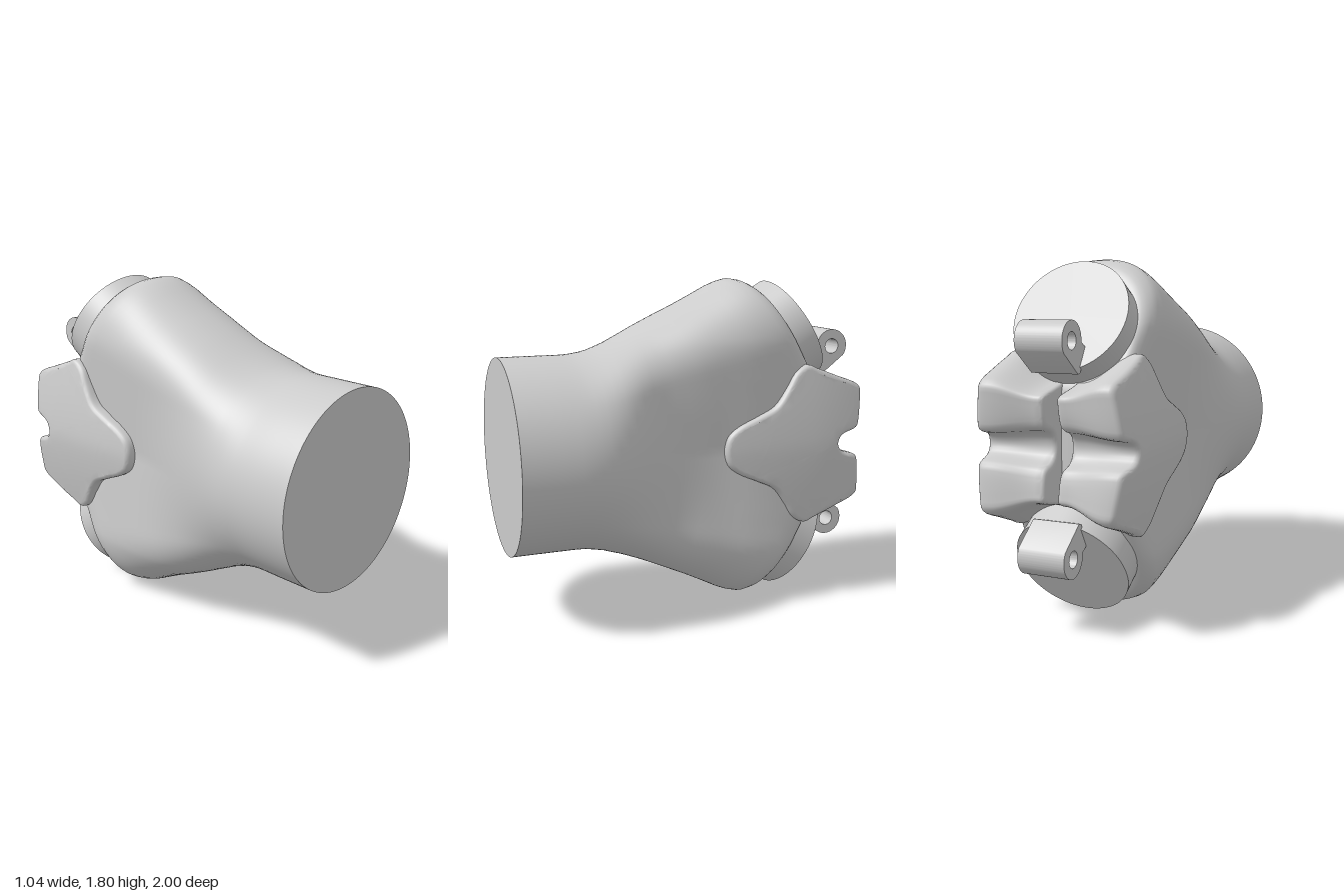
import * as THREE from 'three';
import { toCreasedNormals } from 'three/addons/utils/BufferGeometryUtils.js';

const MID = 0.905; // height of the horizontal symmetry plane
const material = new THREE.MeshStandardMaterial({ color: 0xcccccc });
const { smoothstep } = THREE.MathUtils;

// Linear lookup in a table of [z, value], z descending
function lookup(table, z) {
  if (z >= table[0][0]) return table[0][1];
  for (let i = 1; i < table.length; i++) {
    const [z0, a] = table[i - 1], [z1, b] = table[i];
    if (z >= z1) return a + (b - a) * (z0 - z) / (z0 - z1);
  }
  return table[table.length - 1][1];
}

function mesh(name, geometry) {
  const m = new THREE.Mesh(geometry, material);
  m.name = name;
  return m;
}

// Half height, left-hand and right-hand extents along the body
const HEIGHT = [[0.65, 0.52], [0.58, 0.525], [0.5, 0.542], [0.4, 0.577], [0.3, 0.622], [0.2, 0.67],
  [0, 0.764], [-0.1, 0.815], [-0.2, 0.868], [-0.25, 0.889], [-0.3, 0.902]];
const PLUS_X = [[0.75, 0.52], [0.65, 0.518], [0.55, 0.505], [0.47, 0.483], [0.4, 0.45], [0.3, 0.39],
  [0.25, 0.362], [0.2, 0.345], [0.1, 0.333], [-0.1, 0.335], [-0.3, 0.34], [-0.45, 0.33], [-0.6, 0.305]];
const MINUS_X = [[0.8, 0.52], [0.6, 0.515], [0.4, 0.485], [0.2, 0.457], [0, 0.443], [-0.2, 0.435],
  [-0.4, 0.42], [-0.6, 0.39]];

// Unit outline: a circle that turns into a tall slot with round ends
function outline(j, n, k) {
  const q = (j / n) * 4, p = q % 4;
  const sx = p < 1 || p >= 3 ? 1 : -1, sy = p < 2 ? 1 : -1;
  const f = p < 1 ? p : p < 2 ? 2 - p : p < 3 ? p - 2 : 4 - p;
  const flat = 0.58, a = Math.max(0, (f - 0.4) / 0.6) * Math.PI / 2;
  const slotX = Math.max(0, Math.cos(a)) ** 0.9;
  const slotY = f < 0.4 ? flat * f / 0.4 : flat + (1 - flat) * Math.sin(a) ** 0.9;
  const c = f * Math.PI / 2;
  return [sx * (Math.cos(c) * (1 - k) + slotX * k), sy * (Math.sin(c) * (1 - k) + slotY * k)];
}

// Body: one inlet blending into two arms, with slanted rear faces
function bodyGeometry() {
  const n = 128, rings = [], pos = [], idx = [];
  for (let i = 0; i <= 26; i++) rings.push([1 - i * 0.05, 0]);
  rings.push([-0.34, 0.006], [-0.37, 0.018], [-0.395, 0.032], [-0.415, 0.055], [-0.425, 0.085], [-0.425, 0.085]);
  rings.forEach(([zTop, inset], r) => {
    const k = smoothstep(-zTop, -0.7, 0);
    const tilt = smoothstep(-zTop, -0.5, 0.4);
    const h = lookup(HEIGHT, zTop) - inset;
    for (let j = 0; j < n; j++) {
      const [ux, uy] = outline(j, n, k);
      const dy = h * uy;
      const z = zTop - tilt * Math.min(0.59 * (h - Math.abs(dy)), 0.32);
      // shallow valley between the two arms
      const dent = 0.045 * smoothstep(-z, -0.3, 0.2) * Math.max(0, 1 - Math.abs(dy) / 0.58);
      const right = lookup(PLUS_X, z), left = lookup(MINUS_X, z);
      const xc = (right - left) / 2, w = (right + left) / 2 - inset - dent;
      const closing = r === rings.length - 1;
      pos.push(closing ? xc : xc + w * ux, MID + dy, z);
    }
  });
  for (let r = 0; r < rings.length - 1; r++) {
    for (let j = 0; j < n; j++) {
      const a = r * n + j, b = r * n + (j + 1) % n, c = a + n, d = b + n;
      idx.push(a, c, b, b, c, d);
    }
  }
  const g = new THREE.BufferGeometry();
  g.setAttribute('position', new THREE.Float32BufferAttribute(pos, 3));
  g.setIndex(idx);
  return toCreasedNormals(g, 0.8);
}

// Splits triangles at their longest edge so flat caps can be curved
function subdivide(geometry, maxEdge) {
  const p = geometry.attributes.position, out = [];
  const split = (a, b, c) => {
    const ab = a.distanceTo(b), bc = b.distanceTo(c), ca = c.distanceTo(a);
    const longest = Math.max(ab, bc, ca);
    if (longest < maxEdge) out.push(...a, ...b, ...c);
    else if (longest === bc) split(b, c, a);
    else if (longest === ca) split(c, a, b);
    else {
      const m = a.clone().add(b).multiplyScalar(0.5);
      split(a, m, c);
      split(m, b, c);
    }
  };
  const corner = i => new THREE.Vector3().fromBufferAttribute(p, i);
  for (let i = 0; i < p.count; i += 3) split(corner(i), corner(i + 1), corner(i + 2));
  const g = new THREE.BufferGeometry();
  g.setAttribute('position', new THREE.Float32BufferAttribute(out, 3));
  return g;
}

// Upper half of the clamp profile as [z, height above the middle]
const CLAMP = [[-0.14, 0], [-0.16, 0.08], [-0.22, 0.13], [-0.33, 0.18], [-0.43, 0.23], [-0.5, 0.32],
  [-0.56, 0.41], [-0.63, 0.445], [-0.7, 0.42], [-0.82, 0.375], [-0.95, 0.325], [-0.973, 0.3], [-0.973, 0.25],
  [-0.96, 0.12], [-0.95, 0.085], [-0.92, 0.068], [-0.87, 0.055], [-0.835, 0.035], [-0.82, 0]];

// Clamp half: the profile runs inwards, getting lower towards the centre gap
function clampGeometry(s) {
  const lower = CLAMP.slice(1, -1).reverse().map(([z, y]) => [z, -y]);
  const points = [...CLAMP, ...lower].map(([z, y]) => new THREE.Vector3(-s * z, y, 0));
  const curve = new THREE.CatmullRomCurve3(points, true, 'centripetal');
  const shape = new THREE.Shape(curve.getSpacedPoints(150).slice(0, -1).map(p => new THREE.Vector2(p.x, p.y)));
  const inner = 0.04, outer = 0.42, bevel = 0.03;
  const extruded = new THREE.ExtrudeGeometry(shape, { depth: outer - inner - 2 * bevel, steps: 12,
    bevelThickness: bevel, bevelSize: bevel * 0.8, bevelOffset: -bevel * 0.8, bevelSegments: 4 });
  extruded.translate(0, 0, inner + bevel);
  const g = subdivide(extruded, 0.06);
  const p = g.attributes.position;
  const sideDrop = s > 0 ? 0.035 : 0.07;
  for (let i = 0; i < p.count; i++) {
    let z = -s * p.getX(i), d = p.getZ(i);
    const y = p.getY(i), up = Math.abs(y);
    const m = 1 - smoothstep(d, 0.08, 0.37);
    const height = Math.min(up, 0.1) * (1 + 0.3 * m) + Math.max(0, up - 0.1) * (1 - 0.42 * m);
    // the outer face curves away towards the tip, the back and both edges
    const bulge = z > -0.65 ? 0.03 * ((z + 0.65) / 0.5) ** 2 : 0.03 * ((z + 0.65) / 0.32) ** 2;
    d -= (bulge + sideDrop * Math.min(1, up / 0.42) ** 1.5) * d / outer;
    z = -0.5 + (z + 0.5) * (1 - 0.09 * m);
    p.setXYZ(i, -0.062 + s * d, MID + Math.sign(y) * height, z);
  }
  return toCreasedNormals(g, 0.7);
}

// Hinge lug with a pin hole, in a z/height profile
function lugGeometry() {
  const shape = new THREE.Shape();
  shape.moveTo(0.755, 0.47);
  shape.lineTo(0.825, 0.36);
  shape.lineTo(0.845, 0.356);
  shape.absarc(0.905, 0.515, 0.095, -0.6, Math.PI + 0.1, false);
  const hole = new THREE.Path();
  hole.absarc(0.905, 0.515, 0.042, 0, Math.PI * 2, true);
  shape.holes.push(hole);
  const g = new THREE.ExtrudeGeometry(shape, { depth: 0.25, bevelEnabled: false, curveSegments: 32 });
  g.translate(0, 0, -0.125);
  g.rotateY(Math.PI / 2);
  return toCreasedNormals(g, 0.6);
}

export function createModel() {
  const model = new THREE.Group();
  model.name = 'pipeSplitter';
  model.add(mesh('body', bodyGeometry()));

  // Flat inlet face
  const inlet = mesh('inletFace', new THREE.CircleGeometry(0.52, 128));
  inlet.position.set(0, MID, 1);
  model.add(inlet);

  // Clamp halves on both sides
  for (const s of [1, -1]) model.add(mesh(s > 0 ? 'leftClamp' : 'rightClamp', clampGeometry(s)));

  // Slanted ports with hinge lugs, upper and lower
  const axis = new THREE.Vector3(0, 0.51, -0.86).normalize();
  for (const name of ['upperPort', 'lowerPort']) {
    const port = new THREE.Group();
    port.name = name;
    const flange = mesh('flange', new THREE.CylinderGeometry(0.303, 0.303, 0.2, 96));
    flange.quaternion.setFromUnitVectors(new THREE.Vector3(0, 1, 0), axis);
    flange.position.set(0, 0.625, -0.687).addScaledVector(axis, -0.1);
    port.add(flange, mesh('hingeLug', lugGeometry()));
    port.position.set(-0.043, MID, 0);
    if (name === 'lowerPort') port.rotation.z = Math.PI;
    model.add(port);
  }
  return model;
}
